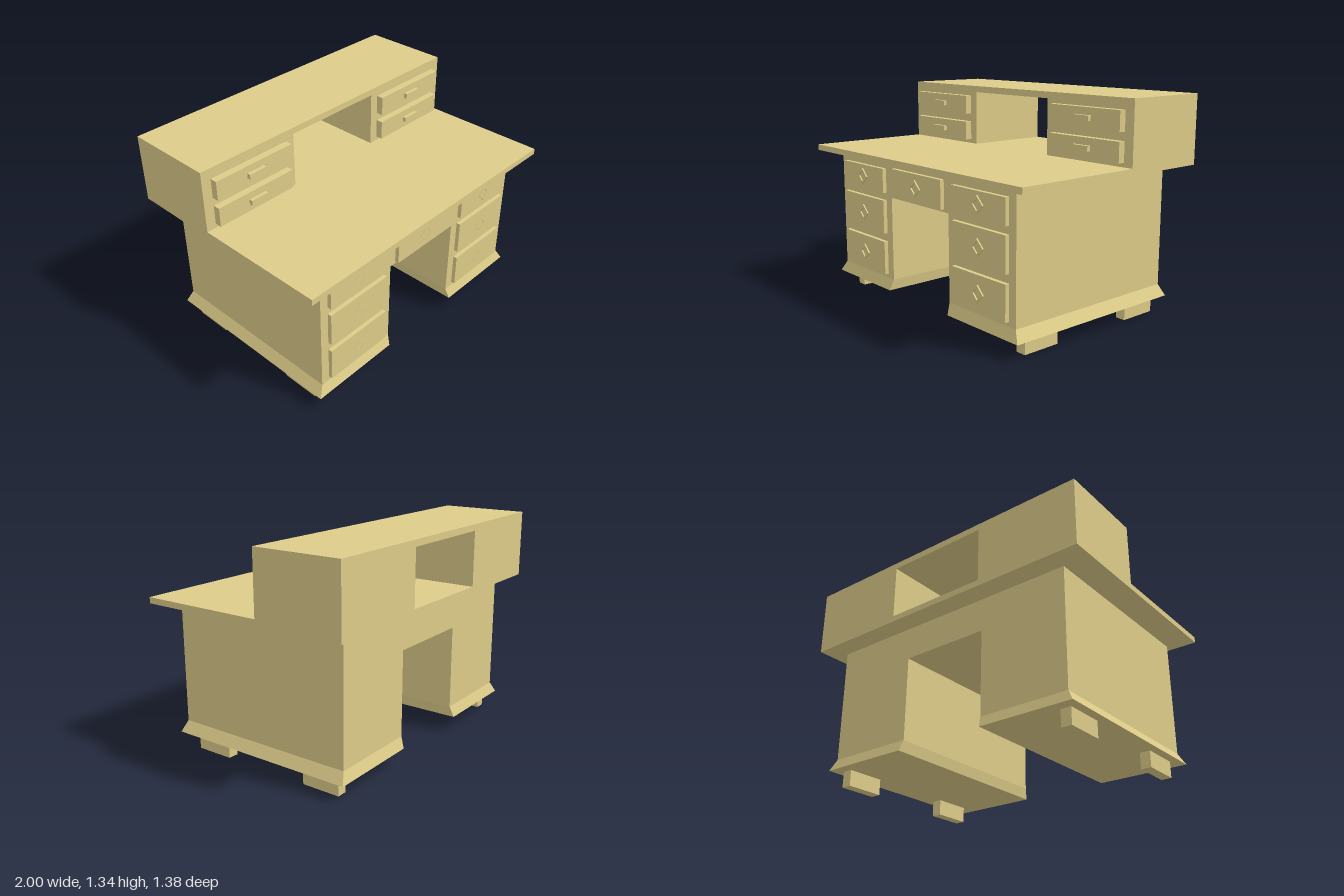
import * as THREE from 'three';

const wood = new THREE.MeshStandardMaterial({ color: 0xdccb88, flatShading: true });

function add(group, name, geometry) {
  const mesh = new THREE.Mesh(geometry, wood);
  mesh.name = name;
  group.add(mesh);
  return mesh;
}

// Box given by its extents
function block(group, name, [x0, x1], [y0, y1], [z0, z1]) {
  const mesh = add(group, name, new THREE.BoxGeometry(x1 - x0, y1 - y0, z1 - z0));
  mesh.position.set((x0 + x1) / 2, (y0 + y1) / 2, (z0 + z1) / 2);
  return mesh;
}

// Solid through stacked rectangles, each [y, x0, x1, halfDepth], bottom to top
function loft(sections) {
  const positions = [], index = [];
  for (const [y, x0, x1, z] of sections) {
    positions.push(x0, y, z, x1, y, z, x1, y, -z, x0, y, -z);
  }
  const quad = (a, b, c, d) => index.push(a, b, c, a, c, d);
  const last = (sections.length - 1) * 4;
  for (let s = 0; s < last; s += 4) {
    for (let i = 0; i < 4; i++) {
      const j = (i + 1) % 4;
      quad(s + i, s + j, s + 4 + j, s + 4 + i);
    }
  }
  quad(3, 2, 1, 0);
  quad(last, last + 1, last + 2, last + 3);
  const geometry = new THREE.BufferGeometry();
  geometry.setAttribute('position', new THREE.Float32BufferAttribute(positions, 3));
  geometry.setIndex(index);
  const flat = geometry.toNonIndexed();
  flat.computeVertexNormals();
  return flat;
}

// Diamond-shaped pull: a thin frame with an open middle
function diamondGeometry() {
  const corners = (r) => [[r, 0], [0, r], [-r, 0], [0, -r]].map(([x, y]) => new THREE.Vector2(x, y));
  const shape = new THREE.Shape(corners(0.052));
  shape.holes.push(new THREE.Path(corners(0.034).reverse()));
  return new THREE.ExtrudeGeometry(shape, { depth: 0.009, bevelEnabled: false });
}

export function createModel() {
  const desk = new THREE.Group();
  desk.name = 'desk';

  // Desktop with sloping underside
  add(desk, 'desktop', loft([
    [0.895, -0.85, 0.85, 0.59],
    [0.92, -1, 1, 0.69],
    [0.957, -1, 1, 0.69],
  ]));

  // Apron bridging the kneehole
  block(desk, 'apron', [-0.285, 0.285], [0.692, 0.895], [-0.59, 0.59]);

  const pull = diamondGeometry();
  function drawer(name, xs, ys, pullX, pullY) {
    const group = new THREE.Group();
    group.name = name;
    block(group, 'drawerFront', xs, ys, [0.58, 0.615]);
    add(group, 'diamondPull', pull).position.set(pullX, pullY, 0.615);
    desk.add(group);
  }
  drawer('centreDrawer', [-0.245, 0.245], [0.708, 0.88], 0, 0.793);

  for (const side of [1, -1]) {
    const label = side > 0 ? 'left' : 'right';
    const span = (a, b) => (side > 0 ? [a, b] : [-b, -a]);

    // Pedestal with flared plinth
    add(desk, label + 'Pedestal', loft([
      [0.1, ...span(0.297, 0.89), 0.615],
      [0.168, ...span(0.285, 0.85), 0.59],
      [0.895, ...span(0.285, 0.85), 0.59],
    ]));

    // Pedestal drawers
    [[0.715, 0.867, 0.793], [0.457, 0.668, 0.558], [0.195, 0.405, 0.298]].forEach(([y0, y1, py], i) =>
      drawer(`${label}Drawer${i + 1}`, span(0.343, 0.795), [y0, y1], side * 0.57, py));

    // Feet
    block(desk, label + 'FrontFoot', span(0.77, 0.835), [0, 0.1], [0.265, 0.51]);
    block(desk, label + 'BackFoot', span(0.77, 0.835), [0, 0.1], [-0.545, -0.3]);

    // Small hutch drawers with bar handles
    for (const y of [0.983, 1.155]) {
      block(desk, label + 'HutchDrawer', span(0.392, 0.938), [y, y + 0.12], [-0.14, -0.083]);
      block(desk, label + 'HutchHandle', span(0.605, 0.725), [y + 0.044, y + 0.076], [-0.083, -0.06]);
    }
  }

  // Hutch with an open bay through the middle
  const outline = [[-1, 0.957], [-0.335, 0.957], [-0.335, 1.3], [0.335, 1.3],
    [0.335, 0.957], [1, 0.957], [1, 1.34], [-1, 1.34]];
  const hutch = new THREE.Shape(outline.map(([x, y]) => new THREE.Vector2(x, y)));
  add(desk, 'hutch', new THREE.ExtrudeGeometry(hutch, { depth: 0.563, bevelEnabled: false }))
    .position.z = -0.69;

  return desk;
}
